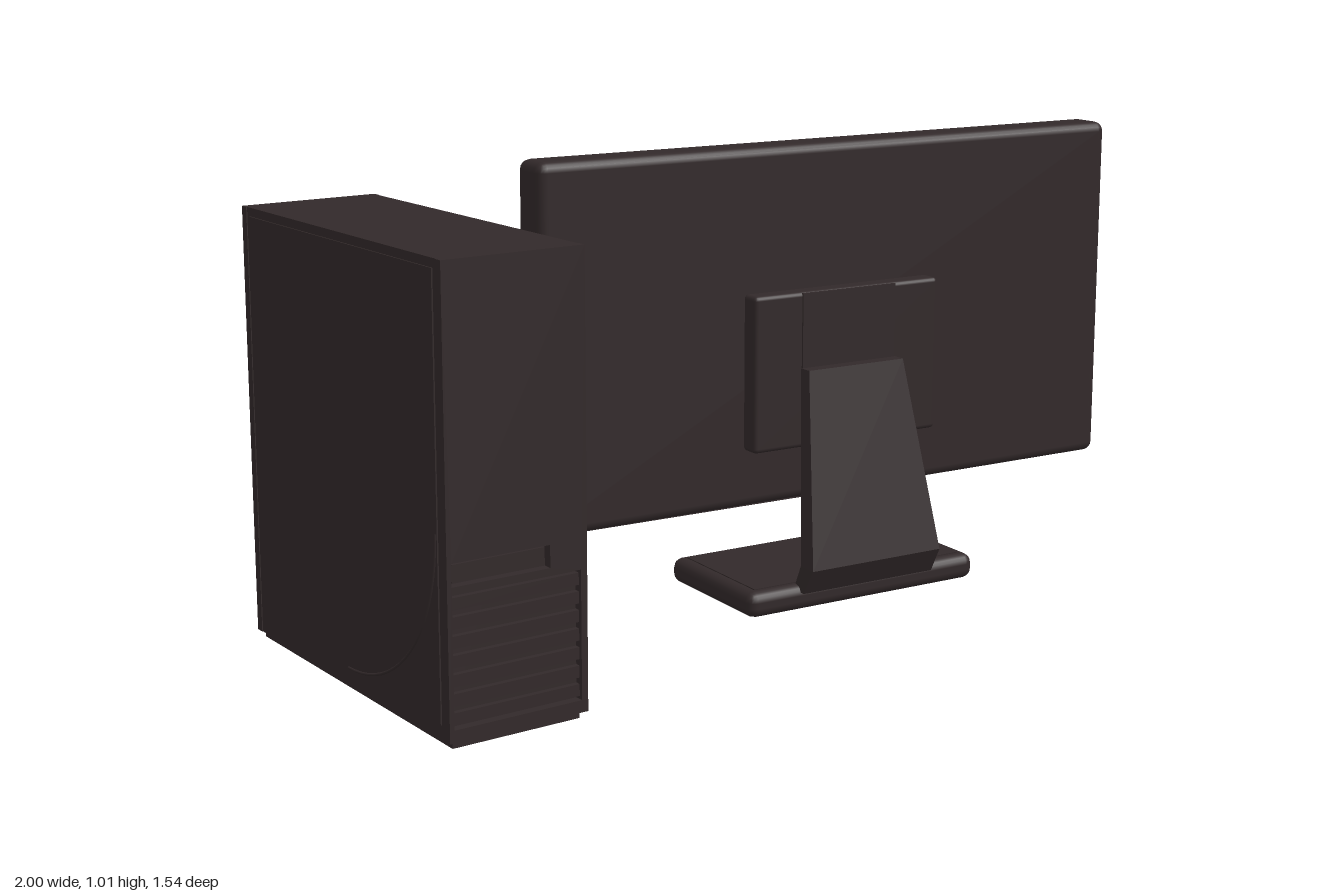
import * as THREE from 'three';
import { mergeGeometries } from 'three/addons/utils/BufferGeometryUtils.js';
import { RoundedBoxGeometry } from 'three/addons/geometries/RoundedBoxGeometry.js';

const charcoal = new THREE.MeshStandardMaterial({ color: 0x32292a });
charcoal.name = 'charcoal plastic';

function add(parent, name, geometry, x = 0, y = 0, z = 0) {
  const mesh = new THREE.Mesh(geometry, charcoal);
  mesh.name = name;
  mesh.position.set(x, y, z);
  parent.add(mesh);
  return mesh;
}

function group(parent, name, x, z, turn) {
  const g = new THREE.Group();
  g.name = name;
  g.position.set(x, 0, z);
  g.rotation.y = turn;
  parent.add(g);
  return g;
}

const box = (w, h, d) => new THREE.BoxGeometry(w, h, d);

// Faceted skin over stacked rings of [x, y, z], each counter-clockwise from above
function loft(rings) {
  const pos = [];
  const n = rings[0].length;
  const tri = (a, b, c) => pos.push(...a, ...b, ...c);
  for (let i = 0; i < rings.length - 1; i++) {
    for (let j = 0; j < n; j++) {
      const k = (j + 1) % n;
      tri(rings[i][j], rings[i][k], rings[i + 1][k]);
      tri(rings[i][j], rings[i + 1][k], rings[i + 1][j]);
    }
  }
  const top = rings[rings.length - 1];
  for (let j = 1; j < n - 1; j++) {
    tri(top[0], top[j], top[j + 1]);
    tri(rings[0][0], rings[0][j + 1], rings[0][j]);
  }
  const g = new THREE.BufferGeometry();
  g.setAttribute('position', new THREE.Float32BufferAttribute(pos, 3));
  g.computeVertexNormals();
  return g;
}

const rectRing = (x0, x1, z0, z1, y) => [[x1, y, z1], [x1, y, z0], [x0, y, z0], [x0, y, z1]];

function rectPath(path, x0, y0, x1, y1) {
  path.moveTo(x0, y0);
  path.lineTo(x1, y0);
  path.lineTo(x1, y1);
  path.lineTo(x0, y1);
  path.closePath();
  return path;
}

// Flat plate in xy with rectangular openings, thickened along +z
function plate(rect, holes, depth) {
  const shape = rectPath(new THREE.Shape(), ...rect);
  holes.forEach((h) => shape.holes.push(rectPath(new THREE.Path(), ...h)));
  return new THREE.ExtrudeGeometry(shape, { depth, bevelEnabled: false });
}

function buildMonitor(root) {
  const m = group(root, 'monitor', 0.25, 0.24, 0.012);
  add(m, 'monitorShell', new RoundedBoxGeometry(1.495, 0.79, 0.1, 2, 0.022), 0, 0.617, 0.003);
  add(m, 'screenBezel', plate([-0.727, -0.375, 0.727, 0.375], [[-0.69, -0.335, 0.69, 0.335]], 0.012), 0, 0.617, -0.055);
  add(m, 'screen', box(1.376, 0.666, 0.004), 0, 0.617, -0.0485);
  add(m, 'mountPlate', new RoundedBoxGeometry(0.486, 0.346, 0.05, 2, 0.01), -0.01, 0.524, 0.072);
  add(m, 'mountBlock', box(0.245, 0.17, 0.006), -0.01, 0.61, 0.098);

  // Stand arm: leaning tapered slab that kinks back into the foot
  const arm = [
    [0.05, 0.148, 0.188, 0.172],
    [0.108, 0.172, 0.22, 0.17],
    [0.53, 0.097, 0.13, 0.125],
  ];
  add(m, 'standArm', loft(arm.map(([y, z0, z1, w]) => rectRing(-w, w, z0, z1, y))), -0.01);
  add(m, 'hinge', box(0.24, 0.06, 0.03), -0.01, 0.49, 0.1);

  add(m, 'standBase', new RoundedBoxGeometry(0.605, 0.057, 0.335, 2, 0.022), -0.01, 0.0365, 0.01);
  add(m, 'basePad', box(0.55, 0.004, 0.28), -0.01, 0.065, 0.01);
}

function buildTower(root) {
  const t = group(root, 'tower', -0.815, 0.35, 0.085);
  add(t, 'plinth', box(0.28, 0.02, 0.79), 0, 0.01, 0);
  add(t, 'case', box(0.3, 0.905, 0.775), 0, 0.4675, 0);

  // Side panels
  for (const s of [-1, 1]) {
    add(t, 'sidePanel', box(0.004, 0.86, 0.75), s * 0.151, 0.472, 0);
  }
  const arc = new THREE.TorusGeometry(0.36, 0.003, 4, 20, Math.PI / 2);
  arc.rotateY(-Math.PI / 2);
  arc.rotateX(Math.PI / 2);
  add(t, 'sideArc', arc, -0.153, 0.41, 0.01);

  // Connector end: recessed slots with slats
  add(t, 'rearPlate', plate([-0.152, 0.015, 0.152, 0.92], [[-0.142, 0.04, 0.138, 0.3], [-0.142, 0.315, 0.07, 0.36]], 0.02), 0, 0, 0.387);
  for (let i = 0; i < 7; i++) {
    add(t, 'slotCover', box(0.28, 0.024, 0.012), -0.002, 0.058 + i * 0.037, 0.393);
  }
  add(t, 'portPanel', box(0.2, 0.035, 0.01), -0.036, 0.337, 0.392);

  // Drive end: grille, drive bays and buttons
  add(t, 'drivePlate', plate([-0.152, 0.015, 0.152, 0.92], [[-0.138, 0.72, 0.138, 0.9], [-0.138, 0.55, 0.138, 0.705]], 0.02), 0, 0, -0.407);
  for (let i = 0; i < 6; i++) {
    add(t, 'grilleSlat', box(0.276, 0.018, 0.014), 0, 0.735 + i * 0.03, -0.393);
  }
  for (let i = 0; i < 2; i++) {
    add(t, 'driveBay', box(0.268, 0.07, 0.014), 0, 0.589 + i * 0.077, -0.394);
  }
  for (const [y, r] of [[0.31, 0.012], [0.25, 0.008], [0.21, 0.008]]) {
    add(t, 'button', new THREE.CylinderGeometry(r, r, 0.008, 12).rotateX(Math.PI / 2), -0.085, y, -0.409);
  }
}

function buildKeyboard(root) {
  const k = group(root, 'keyboard', 0, 0, 0);
  // Wedge-edged body: side profile in (-z, y) stretched along x
  const profile = new THREE.Shape([[0.39, 0], [0.77, 0], [0.77, 0.018], [0.74, 0.034], [0.39, 0.034]]
    .map(([a, b]) => new THREE.Vector2(a, b)));
  const body = new THREE.ExtrudeGeometry(profile, { depth: 1.19, bevelEnabled: false });
  body.rotateY(Math.PI / 2);
  add(k, 'keyboardBody', body, -0.39);

  const keys = [];
  const key = (x0, x1, z) => {
    const g = 0.006, t = 0.012;
    keys.push(loft([
      rectRing(x0 + g, x1 - g, z - 0.02, z + 0.02, 0.03),
      rectRing(x0 + t, x1 - t, z - 0.015, z + 0.015, 0.046),
    ]));
  };
  const row = (x0, x1, n, z) => {
    const w = (x1 - x0) / n;
    for (let i = 0; i < n; i++) key(x0 + i * w, x0 + (i + 1) * w, z);
  };
  const rows = [-0.709, -0.656, -0.604, -0.552, -0.499, -0.446];
  rows.forEach((z, r) => {
    row(-0.365, -0.163, 4, z);
    if (r === 0) {
      row(-0.145, 0.09, 4, z);
      key(0.09, 0.545, z);
      row(0.545, 0.78, 4, z);
    } else {
      row(-0.145, 0.78, 15, z);
    }
  });
  add(k, 'keys', mergeGeometries(keys));
}

function buildMouse(root) {
  const m = group(root, 'mouse', -0.62, -0.582, 0);
  const outline = [[0.06, 0.07], [0.06, -0.07], [0.035, -0.1], [-0.035, -0.1],
    [-0.06, -0.07], [-0.06, 0.07], [-0.035, 0.1], [0.035, 0.1]];
  const levels = [[0.02, 0.8, 0.88, 0], [0.045, 1, 1, 0], [0.06, 0.88, 0.72, 0], [0.08, 0.5, 0.36, 0.005]];
  add(m, 'mouseBody', loft(levels.map(([y, sx, sz, dz]) => outline.map(([x, z]) => [x * sx, y, z * sz + dz]))));
  add(m, 'scrollWheel', new THREE.CylinderGeometry(0.012, 0.012, 0.01, 12).rotateZ(Math.PI / 2), 0, 0.056, 0.062);
}

export function createModel() {
  const root = new THREE.Group();
  root.name = 'desktopComputer';
  buildMonitor(root);
  buildTower(root);
  buildKeyboard(root);
  buildMouse(root);
  return root;
}
